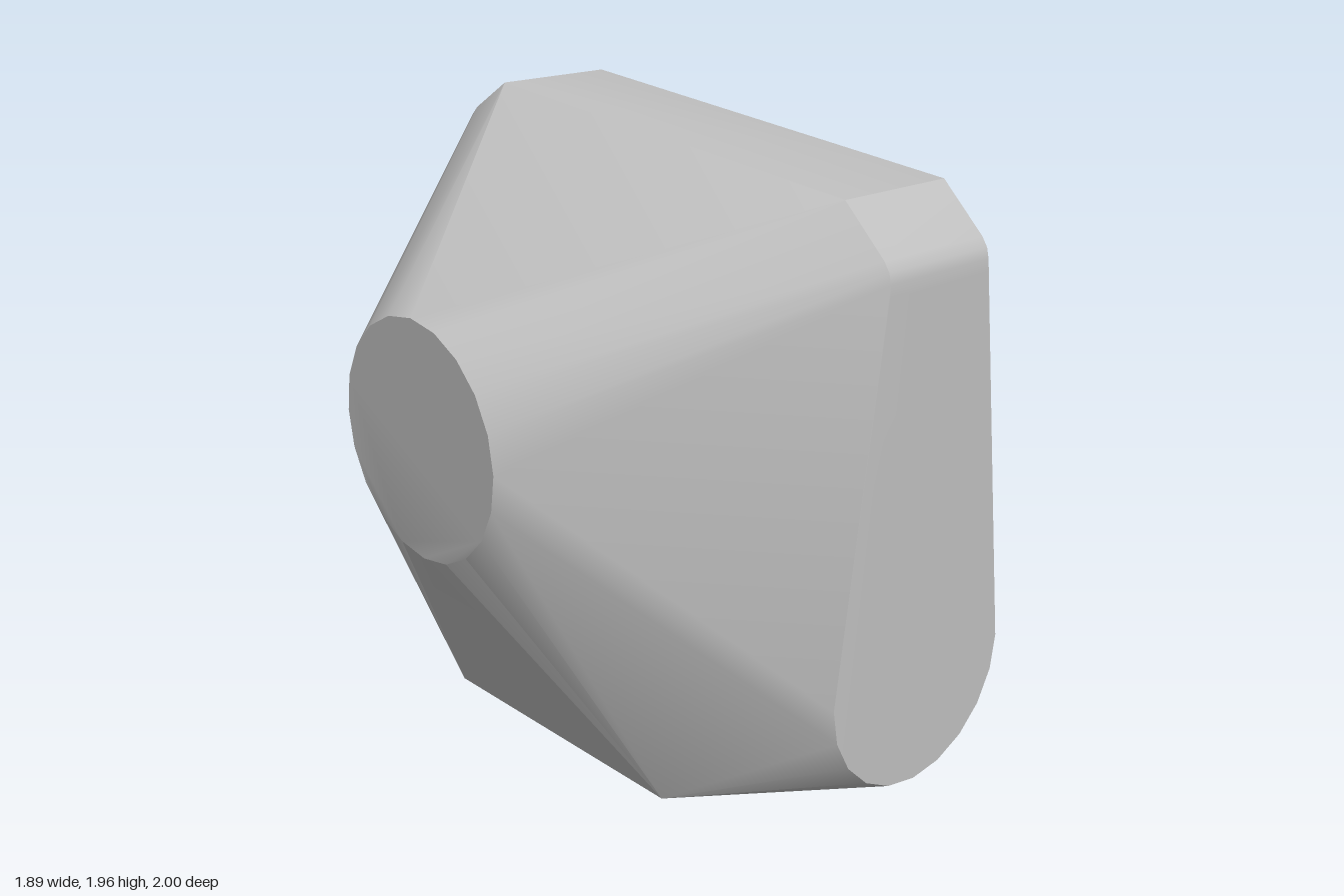
import * as THREE from 'three';
import { ConvexGeometry } from 'three/addons/geometries/ConvexGeometry.js';
import { toCreasedNormals } from 'three/addons/utils/BufferGeometryUtils.js';

const V = (x, y, z) => new THREE.Vector3(x, y, z);

// points of a round facet, placed by a function of its two in-plane offsets
function disc(radius, place, sides = 20) {
  return Array.from({ length: sides }, (_, i) => {
    const a = (i / sides) * Math.PI * 2;
    return place(Math.sin(a) * radius, Math.cos(a) * radius);
  });
}

export function createModel() {
  const group = new THREE.Group();
  group.name = 'facetedStone';
  const grey = new THREE.MeshStandardMaterial({ color: 0xbfbfbf });
  grey.name = 'stone grey';

  const points = [
    // round facets on the two sides
    ...disc(0.343, (u, v) => V(-0.95, 0.48 + v, u)),
    ...disc(0.343, (u, v) => V(0.933, 0.48 + v, u)),
  ];

  // tilted top strip with rounded shoulders
  const top = [
    [-0.868, 1.75], [-0.862, 1.8], [-0.845, 1.835], [-0.815, 1.865], [-0.663, 1.96],
    [0.78, 1.835], [0.92, 1.702], [0.938, 1.675], [0.945, 1.645], [0.945, 1.61],
  ];

  for (const s of [-1, 1]) {
    // round facets on the front and back
    points.push(...disc(0.346, (u, v) => V(-0.014 + u, 1.162 + v, s)));
    for (const [x, y] of top) points.push(V(x, y, s * 0.193));
    for (const m of [-1, 1]) {
      // lower corners, then the flat base
      points.push(V(m * 0.485, 0.1, s * 0.57));
      points.push(V(m * 0.47, 0, s * 0.25), V(m * 0.485, 0, s * 0.15), V(m * 0.6, 0.027, s * 0.12));
    }
  }

  // smooth across the soft bends, sharp at the facet rims
  const body = new THREE.Mesh(toCreasedNormals(new ConvexGeometry(points), 0.5), grey);
  body.name = 'stoneBody';
  group.add(body);
  return group;
}
